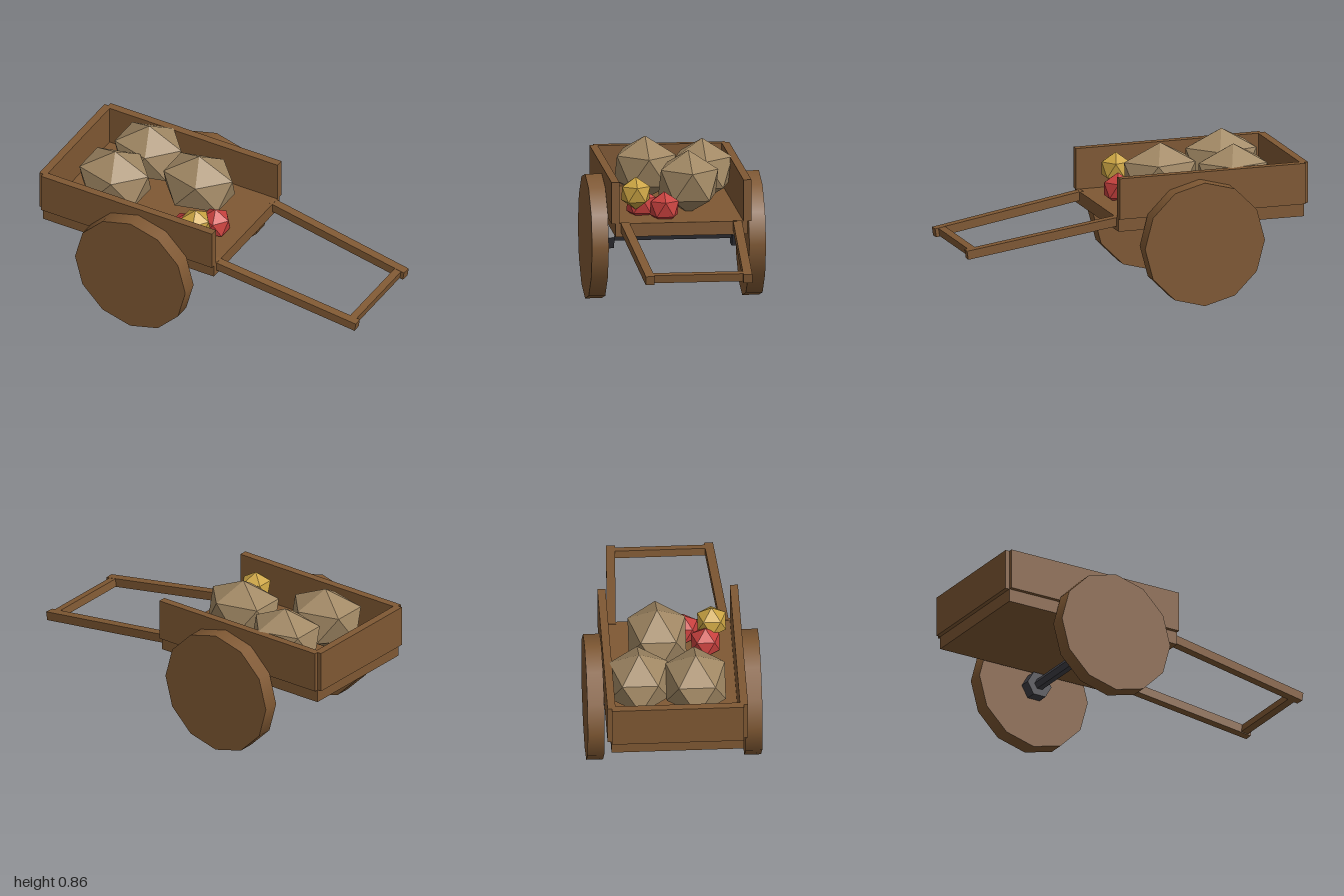
import * as THREE from 'three';

export function createModel() {
  const root = new THREE.Group();
  root.name = 'handcart';

  const material = (name, color) => {
    const m = new THREE.MeshStandardMaterial({ color });
    m.name = name;
    return m;
  };
  const wood = material('wood', 0x7f5833);
  const iron = material('dark iron', 0x3f3f46);
  const stone = material('stone', 0xa18864);
  const red = material('red gem', 0xc8413e);
  const gold = material('yellow gem', 0xcba443);

  const add = (name, geometry, mat, x = 0, y = 0, z = 0) => {
    const mesh = new THREE.Mesh(geometry, mat);
    mesh.name = name;
    mesh.position.set(x, y, z);
    root.add(mesh);
    return mesh;
  };
  // Box given by its minimum and maximum corners
  const box = (name, [x0, y0, z0], [x1, y1, z1]) =>
    add(name, new THREE.BoxGeometry(x1 - x0, y1 - y0, z1 - z0), wood,
      (x0 + x1) / 2, (y0 + y1) / 2, (z0 + z1) / 2);
  // Faceted hexagonal bar along z, flat on top
  const hexBar = (radius, length) => {
    const g = new THREE.CylinderGeometry(radius, radius, length, 6)
      .rotateY(Math.PI / 6).rotateX(Math.PI / 2).toNonIndexed();
    g.computeVertexNormals();
    return g;
  };

  // Tray
  box('floor', [-0.975, 0.44, -0.372], [0.125, 0.515, 0.372]);
  box('backWall', [-1, 0.515, -0.37], [-0.955, 0.75, 0.37]);
  box('leftFrontWall', [-0.975, 0.515, 0.349], [0.125, 0.75, 0.394]);
  box('rearSideWall', [-0.975, 0.515, -0.394], [0.125, 0.75, -0.349]);

  // Wheels, hubs and axle
  const axleX = -0.347, axleY = 0.355;
  const wheelGeometry = new THREE.CylinderGeometry(0.355, 0.355, 0.094, 12).rotateX(Math.PI / 2);
  const hubGeometry = hexBar(0.078, 0.066);
  add('axle', hexBar(0.033, 0.8), iron, axleX, axleY + 0.003, 0);
  for (const s of [-1, 1]) {
    add('wheel', wheelGeometry, wood, axleX, axleY, s * 0.443);
    add('hub', hubGeometry, iron, axleX, axleY + 0.003, s * 0.365);
  }

  // Sloping handles joined by a crossbar
  for (const s of [-1, 1]) {
    const from = new THREE.Vector3(0.1, 0.493, s * 0.317);
    const to = new THREE.Vector3(0.993, 0.357, s * 0.275);
    const middle = from.clone().lerp(to, 0.5);
    const handle = add('handle', new THREE.BoxGeometry(0.05, 0.05, from.distanceTo(to)), wood,
      middle.x, middle.y, middle.z);
    handle.lookAt(to);
  }
  add('crossbar', new THREE.BoxGeometry(0.042, 0.045, 0.53), wood, 0.952, 0.364, 0).rotation.z = -0.15;

  // Icosahedron with one corner straight up and an upper-ring corner toward +x
  const icosahedron = new THREE.IcosahedronGeometry(1, 0)
    .rotateZ(Math.atan(2 / (1 + Math.sqrt(5)))).rotateY(Math.PI);

  // Stones
  for (const [x, y, z, rx, ry, rz] of [
    [-0.615, 0.67, -0.2, 0.23, 0.178, 0.192],
    [-0.655, 0.68, 0.117, 0.238, 0.18, 0.195],
    [-0.225, 0.678, -0.078, 0.24, 0.18, 0.19],
  ]) add('stone', icosahedron, stone, x, y, z).scale.set(rx, ry, rz);

  // Gems
  for (const [name, mat, x, y, z] of [
    ['redGem', red, -0.03, 0.57, 0.08],
    ['redGem', red, -0.155, 0.57, 0.197],
    ['yellowGem', gold, -0.07, 0.649, 0.236],
  ]) add(name, icosahedron, mat, x, y, z).scale.setScalar(0.093);

  return root;
}
